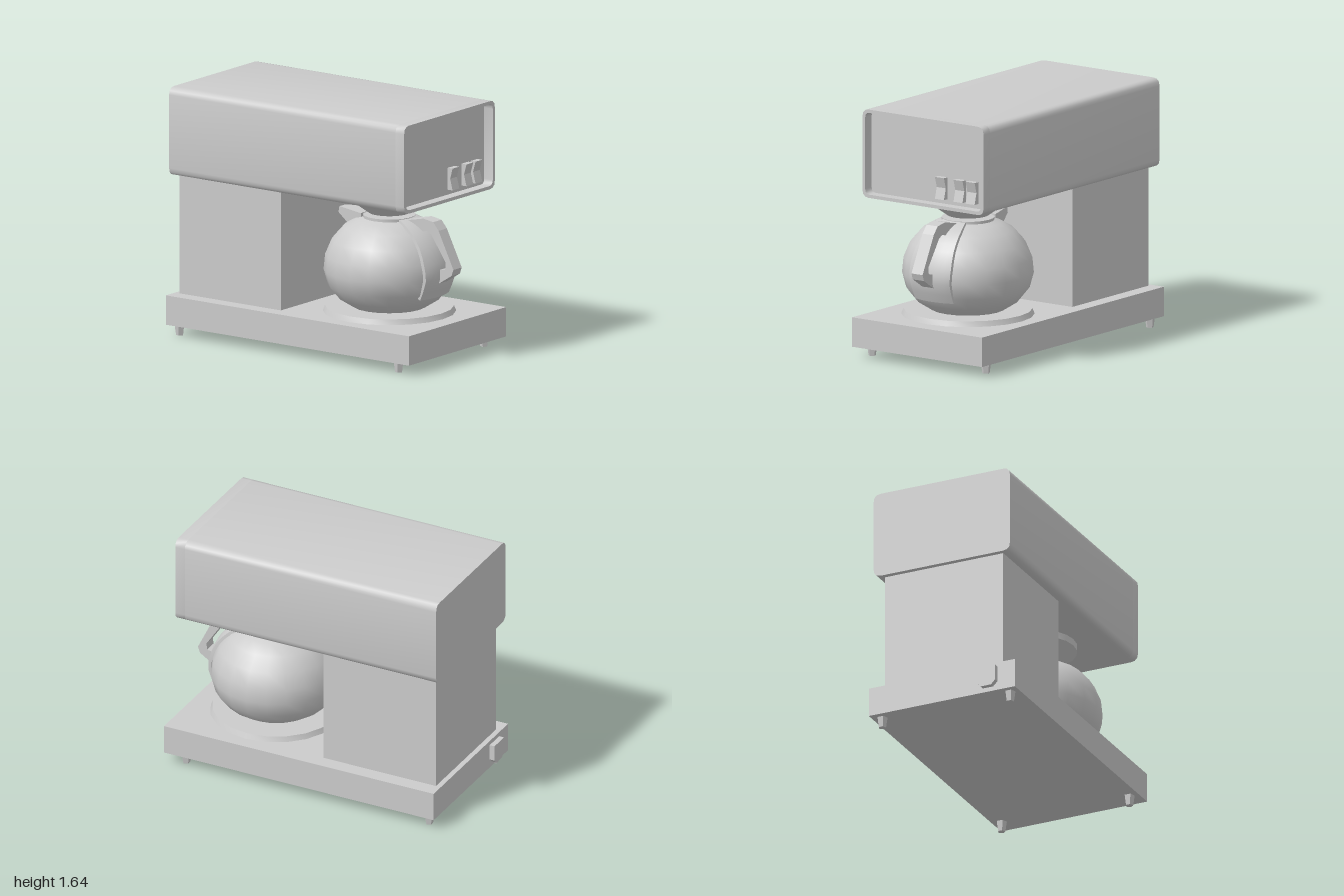
import * as THREE from 'three';
import { toCreasedNormals } from 'three/addons/utils/BufferGeometryUtils.js';

const material = new THREE.MeshStandardMaterial({ color: 0xcccccc, side: THREE.DoubleSide });
const POT_Z = 0.45;

export function createModel() {
  const model = new THREE.Group();

  const add = (name, geometry, x = 0, y = 0, z = 0) => {
    const mesh = new THREE.Mesh(geometry, material);
    mesh.name = name;
    mesh.position.set(x, y, z);
    model.add(mesh);
    return mesh;
  };
  const box = (name, x0, x1, y0, y1, z0, z1) =>
    add(name, new THREE.BoxGeometry(x1 - x0, y1 - y0, z1 - z0), (x0 + x1) / 2, (y0 + y1) / 2, (z0 + z1) / 2);
  const lathe = (name, points, segments = 20, crease = 0.6) =>
    add(name, toCreasedNormals(new THREE.LatheGeometry(points.map(p => new THREE.Vector2(...p)), segments), crease), 0, 0, POT_Z);
  const polygon = points => new THREE.Shape(points.map(p => new THREE.Vector2(...p)));
  // Side profile given as [z, y], extruded along x and centred
  const sideExtrude = (points, width) => {
    const g = new THREE.ExtrudeGeometry(polygon(points), { depth: width, bevelEnabled: false });
    return g.translate(0, 0, -width / 2).rotateY(-Math.PI / 2);
  };
  const roundedRect = (w, y0, y1, r, Type = THREE.Shape) => {
    const s = new Type();
    s.moveTo(-w + r, y0);
    s.lineTo(w - r, y0);
    s.quadraticCurveTo(w, y0, w, y0 + r);
    s.lineTo(w, y1 - r);
    s.quadraticCurveTo(w, y1, w - r, y1);
    s.lineTo(-w + r, y1);
    s.quadraticCurveTo(-w, y1, -w, y1 - r);
    s.lineTo(-w, y0 + r);
    s.quadraticCurveTo(-w, y0, -w + r, y0);
    return s;
  };

  // Base, feet and rear column
  box('base', -0.525, 0.525, 0.07, 0.265, -0.965, 1);
  box('column', -0.425, 0.425, 0.265, 1.055, -0.93, -0.11);
  for (const x of [-0.46, 0.46]) {
    for (const z of [-0.9, 0.87]) {
      const foot = new THREE.CylinderGeometry(0.035, 0.025, 0.07, 5).toNonIndexed();
      foot.computeVertexNormals();
      add('foot', foot, x, 0.035, z);
    }
  }

  // Cord outlet on the back of the base
  const outlet = polygon([[-0.4, 0.235], [-0.4, 0.13], [-0.37, 0.1], [-0.295, 0.1], [-0.265, 0.13], [-0.265, 0.235]]);
  add('cordOutlet', new THREE.ExtrudeGeometry(outlet, { depth: 0.035, bevelEnabled: false }), 0, 0, -1);

  // Upper housing with a recessed front panel
  const body = roundedRect(0.49, 1.055, 1.64, 0.05);
  const extrude = (shape, depth) =>
    toCreasedNormals(new THREE.ExtrudeGeometry(shape, { depth, bevelEnabled: false, curveSegments: 3 }), 0.7);
  add('housing', extrude(body, 1.83), 0, 0, -0.965);
  const rim = roundedRect(0.49, 1.055, 1.64, 0.05);
  rim.holes.push(roundedRect(0.468, 1.077, 1.618, 0.035, THREE.Path));
  add('housingRim', extrude(rim, 0.07), 0, 0, 0.865);

  // Rocker switches, dished in the middle
  for (const x of [0.11, 0.26, 0.358]) {
    add('rockerSwitch', sideExtrude([[0.86, 1.11], [0.905, 1.11], [0.885, 1.185], [0.905, 1.255], [0.86, 1.255]], 0.073), x);
  }

  // Filter basket and warming plate
  lathe('filterBasket', [[0, 0.92], [0.135, 0.92], [0.26, 1.01], [0.26, 1.056]]);
  lathe('warmingPlate', [[0.432, 0.265], [0.418, 0.3], [0, 0.3]]);

  // Carafe
  const profile = [[0.24, 0.3], [0.335, 0.36], [0.4, 0.44], [0.427, 0.54], [0.417, 0.64],
    [0.375, 0.74], [0.3, 0.825], [0.22, 0.872], [0.165, 0.89]];
  lathe('carafe', profile, 20, 0.9);
  lathe('collar', [[0.172, 0.88], [0.172, 0.906], [0, 0.906]]);

  // Curved band hugging the front of the carafe
  const curve = new THREE.SplineCurve([[0.38, 0.415], ...profile.slice(3)].map(p => new THREE.Vector2(...p)));
  const widths = new THREE.SplineCurve([[0, 0.155], [0.35, 0.163], [0.7, 0.135], [1, 0.09]].map(p => new THREE.Vector2(...p)));
  const band = new THREE.BoxGeometry(1, 1, 1, 8, 12, 1);
  const pos = band.attributes.position;
  for (let i = 0; i < pos.count; i++) {
    const t = pos.getY(i) + 0.5;
    const p = curve.getPoint(t);
    const scale = pos.getZ(i) > 0 ? 1.04 : 0.99;
    const r = p.x * scale;
    const x = 2 * pos.getX(i) * widths.getPoint(t).y;
    pos.setXYZ(i, x, 0.58 + (p.y - 0.58) * scale, Math.sqrt(r * r - x * x));
  }
  add('handleBand', toCreasedNormals(band, 0.7), 0, 0, POT_Z);

  // Handle loop
  add('handle', sideExtrude([
    [0.62, 0.895], [0.757, 0.925], [0.837, 0.912], [0.88, 0.86], [1, 0.617], [0.985, 0.575], [0.875, 0.505],
    [0.875, 0.6], [0.933, 0.612], [0.938, 0.655], [0.82, 0.83], [0.783, 0.848], [0.73, 0.83], [0.62, 0.87],
  ], 0.09));

  // Pouring spout, narrowing to its tip
  const spout = sideExtrude([[0.3, 0.91], [0.07, 0.91], [0.06, 0.87], [0.155, 0.82], [0.3, 0.82]], 2);
  const sp = spout.attributes.position;
  for (let i = 0; i < sp.count; i++) {
    sp.setX(i, sp.getX(i) * THREE.MathUtils.mapLinear(sp.getZ(i), 0.06, 0.3, 0.03, 0.11));
  }
  spout.computeVertexNormals();
  add('spout', spout);

  return model;
}
